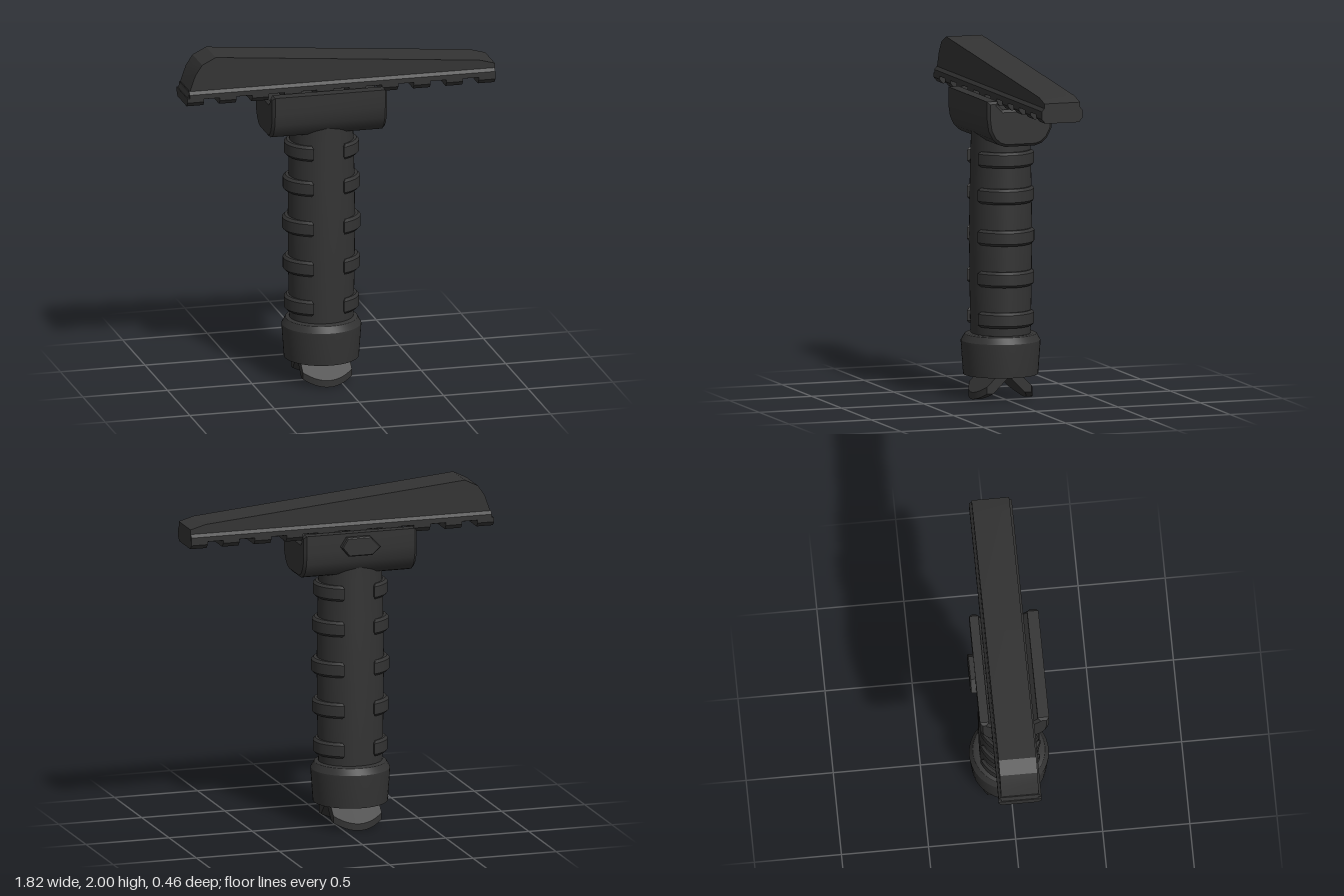
import * as THREE from 'three';
import { toCreasedNormals } from 'three/addons/utils/BufferGeometryUtils.js';

const AXIS_X = -0.09; // grip axis

export function createModel() {
  const model = new THREE.Group();
  model.name = 'railForegrip';
  const black = new THREE.MeshStandardMaterial({ color: 0x333333 });
  black.name = 'matteBlack';

  const add = (name, geometry, parent = model, crease = 0.5) => {
    const mesh = new THREE.Mesh(toCreasedNormals(geometry, crease), black);
    mesh.name = name;
    parent.add(mesh);
    return mesh;
  };
  const shapeOf = (pts) => new THREE.Shape(pts.map(([x, y]) => new THREE.Vector2(x, y)));
  const extrude = (shape, length, bevel = 0, steps = 1) => {
    const g = new THREE.ExtrudeGeometry(shape, {
      depth: length - 2 * bevel, steps, curveSegments: 20,
      bevelEnabled: bevel > 0, bevelThickness: bevel, bevelSize: bevel,
      bevelOffset: -bevel, bevelSegments: 1,
    });
    return g.translate(0, 0, bevel);
  };
  // Sweep a (z, y) section along x
  const extrudeX = (pts, x0, x1, bevel = 0, steps = 1) =>
    extrude(shapeOf(pts), x1 - x0, bevel, steps).rotateY(-Math.PI / 2).translate(x1, 0, 0);
  const lathe = (pts, segments = 48) =>
    new THREE.LatheGeometry(pts.map(([x, y]) => new THREE.Vector2(x, y)), segments);

  // Rail cover: wedge profile, flared base strip and cross teeth
  const railZ = -0.0125;
  const rail = new THREE.Group();
  rail.name = 'rail';
  rail.position.z = railZ;
  model.add(rail);
  const wedge = shapeOf([[-0.91, 1.757], [0.91, 1.757], [0.91, 1.835], [0.82, 1.86],
    [-0.74, 2], [-0.82, 1.96], [-0.86, 1.9]]);
  add('railCover', extrude(wedge, 0.216).translate(0, 0, -0.108), rail, 0.3);
  add('railBase', extrudeX([[-0.108, 1.757], [-0.123, 1.762], [-0.123, 1.79], [-0.108, 1.808],
    [0.108, 1.808], [0.123, 1.79], [0.123, 1.762], [0.108, 1.757]].reverse(), -0.897, 0.909), rail, 0.3);
  for (let i = 0; i < 10; i++) {
    const x = -0.861 + i * 0.1913;
    add('railTooth', extrudeX([[-0.102, 1.72], [0.102, 1.72], [0.123, 1.745], [0.123, 1.77],
      [-0.123, 1.77], [-0.123, 1.745]], x - 0.049, x + 0.049), rail, 0.3);
  }

  // Clamp body with rounded underside and open channel for the rail
  add('clamp', extrudeX([[-0.09, 1.495], [0.09, 1.495], [0.13, 1.508], [0.165, 1.54], [0.19, 1.59],
    [0.2, 1.66], [0.2, 1.76], [0.135, 1.76], [0.135, 1.74], [0.105, 1.71],
    [-0.12, 1.71], [-0.145, 1.735], [-0.145, 1.76], [-0.197, 1.76], [-0.197, 1.66],
    [-0.19, 1.59], [-0.165, 1.54], [-0.13, 1.508]], -0.43, 0.25, 0.015));

  // Locking button on the back of the clamp
  add('lockButton', extrude(shapeOf([[-0.2, 1.675], [-0.15, 1.63], [-0.01, 1.63], [0.035, 1.685],
    [0.0, 1.74], [-0.14, 1.74]]), 0.055, 0.006).translate(0, 0, -0.23), model, 0.3);

  // Oval handle
  const handle = add('handle', lathe([[0.184, 0.35], [0.19, 0.6], [0.194, 0.95], [0.19, 1.25],
    [0.183, 1.5], [0.183, 1.62]]));
  handle.position.x = AXIS_X;
  handle.scale.z = 0.92;

  // Finger ribs: oval segments on both sides of the handle
  const ribs = [[0.425, 0.216], [0.66, 0.223], [0.9, 0.227], [1.14, 0.223], [1.35, 0.216]];
  for (const [y, r] of ribs) {
    for (const turn of [0, Math.PI]) {
      const limit = Math.acos(0.09 / r);
      const shape = new THREE.Shape();
      shape.absellipse(0, 0, r, 0.188, -limit, limit, false, 0);
      const rib = add('fingerRib', extrude(shape, 0.09, 0.014).rotateX(-Math.PI / 2));
      rib.position.set(AXIS_X, y, 0);
      rib.rotation.y = turn;
    }
  }

  // Bottom collar with a hollow underside
  const collar = add('collar', lathe([[0, 0.19], [0.175, 0.19], [0.175, 0.14], [0.215, 0.14],
    [0.228, 0.32], [0.228, 0.335], [0.207, 0.372], [0.195, 0.378], [0.16, 0.378]]));
  collar.position.x = AXIS_X;

  // Folding feet: splayed plates whose tips are rounded across the width
  const half = 0.145;
  for (const turn of [0, Math.PI]) {
    const g = extrudeX([[0, 0.19], [0, 0.14], [0.14, 0], [0.18, 0], [0.18, 0.04], [0.025, 0.19]],
      -half, half, 0, 14);
    const p = g.attributes.position;
    for (let i = 0; i < p.count; i++) {
      if (p.getY(i) > 0.1) continue;
      const shift = 0.045 * (p.getX(i) / half) ** 2;
      p.setY(i, p.getY(i) + shift);
      p.setZ(i, p.getZ(i) - shift);
    }
    const foot = add('foot', g);
    foot.position.x = AXIS_X;
    foot.rotation.y = turn;
  }
  return model;
}
